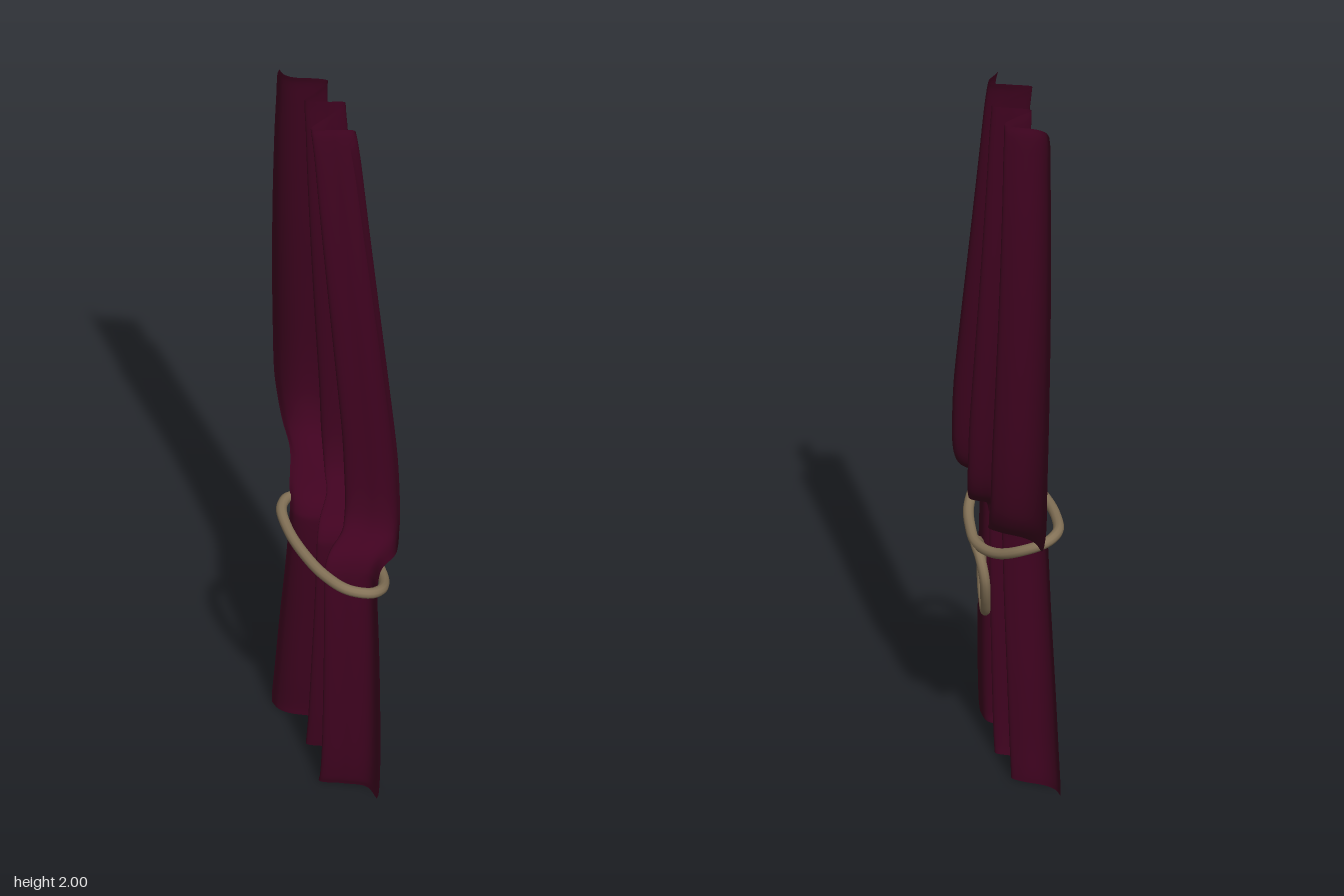
import * as THREE from 'three';

const v = (x, y, z) => new THREE.Vector3(x, y, z);
const { lerp } = THREE.MathUtils;

// Rows down the cloth: height, front edge z, back edge z, sideways shift, gather amount
const ROWS = [
  [2, 0.147, -0.222, -0.05, 0],
  [1.97, 0.161, -0.236, -0.049, 0],
  [1.9, 0.177, -0.249, -0.045, 0],
  [1.75, 0.204, -0.275, -0.038, 0],
  [1.5, 0.247, -0.312, -0.025, 0],
  [1.25, 0.287, -0.343, -0.011, 0],
  [1.05, 0.318, -0.359, -0.001, 0],
  [0.92, 0.332, -0.354, 0, 0],
  [0.85, 0.336, -0.327, -0.003, 0.1],
  [0.805, 0.336, -0.28, -0.012, 0.25],
  [0.775, 0.333, -0.2, -0.03, 0.5],
  [0.745, 0.33, -0.11, -0.075, 0.8],
  [0.71, 0.33, -0.068, -0.095, 1],
  [0.66, 0.333, -0.062, -0.1, 1],
  [0.5, 0.343, -0.085, -0.1, 1],
  [0.3, 0.35, -0.12, -0.1, 1],
  [0.12, 0.35, -0.148, -0.1, 1],
  [0.03, 0.342, -0.163, -0.1, 1],
  [0, 0.33, -0.163, -0.1, 1],
];

// Pleats from back edge to front edge: x when loose, x when gathered, position along the width
const PLEATS = [
  [0.04, 0.04, 0],
  [0.042, 0.042, 0.07],
  [0.062, 0.062, 0.135],
  [0.112, 0.112, 0.215],
  [0.131, 0.131, 0.275],
  [0.09, 0.09, 0.34],
  [0.04, 0.04, 0.405],
  [0.09, 0.09, 0.485],
  [0.131, 0.131, 0.555],
  [0.07, 0.07, 0.635],
  [0.0, 0.0, 0.72],
  [0.05, 0.05, 0.8],
  [0.1, 0.098, 0.88],
  [0.06, 0.1, 1],
];

// Pleated cloth lofted through the rows
function clothGeometry(across, down) {
  const edges = new THREE.CatmullRomCurve3(ROWS.map(r => v(r[1], r[0], r[2])), false, 'catmullrom');
  const drift = new THREE.CatmullRomCurve3(ROWS.map(r => v(r[3], r[4], 0)), false, 'catmullrom');
  const positions = [], index = [];
  for (let j = 0; j <= down; j++) {
    const e = edges.getPoint(j / down), d = drift.getPoint(j / down);
    const section = new THREE.CatmullRomCurve3(PLEATS.map(([loose, tight, along]) =>
      v(lerp(loose, tight, d.y) + d.x, e.y, lerp(e.z, e.x, along))), false, 'catmullrom');
    for (let i = 0; i <= across; i++) {
      const p = section.getPoint(i / across);
      positions.push(p.x, p.y, p.z);
    }
  }
  const w = across + 1;
  for (let j = 0; j < down; j++) {
    for (let i = 0; i < across; i++) {
      const a = j * w + i, b = a + 1, c = a + w, d = c + 1;
      index.push(a, b, c, b, d, c);
    }
  }
  const g = new THREE.BufferGeometry();
  g.setAttribute('position', new THREE.Float32BufferAttribute(positions, 3));
  g.setIndex(index);
  g.computeVertexNormals();
  return g;
}

// Closed loop of cord
function cord(name, points, radius, material) {
  const path = new THREE.CatmullRomCurve3(points.map(p => v(...p)), true);
  const mesh = new THREE.Mesh(new THREE.TubeGeometry(path, 96, radius, 10, true), material);
  mesh.name = name;
  return mesh;
}

export function createModel() {
  const group = new THREE.Group();
  group.name = 'tiedCurtain';

  const cloth = new THREE.MeshStandardMaterial({ color: 0x400320, side: THREE.DoubleSide });
  cloth.name = 'burgundy cloth';
  const rope = new THREE.MeshStandardMaterial({ color: 0x857358 });
  rope.name = 'tan rope';

  const curtain = new THREE.Mesh(clothGeometry(104, 144), cloth);
  curtain.name = 'curtain';
  group.add(curtain);

  // Tieback ring around the gathered waist
  group.add(cord('tiebackRing', [
    [-0.119, 0.71, 0.15], [-0.113, 0.715, 0.04], [-0.088, 0.72, -0.05], [-0.045, 0.715, -0.086],
    [0.01, 0.69, -0.065], [0.06, 0.655, 0], [0.086, 0.64, 0.09], [0.075, 0.64, 0.18],
    [0.05, 0.652, 0.27], [0.01, 0.675, 0.33], [-0.03, 0.688, 0.345], [-0.08, 0.699, 0.318],
    [-0.109, 0.705, 0.245],
  ], 0.0143, rope));

  // Loose loop hanging from the ring
  group.add(cord('hangingLoop', [
    [0.087, 0.637, 0.1], [0.087, 0.615, 0.06], [0.081, 0.56, 0.042], [0.07, 0.48, 0.068],
    [0.057, 0.427, 0.112], [0.05, 0.47, 0.156], [0.048, 0.55, 0.172], [0.062, 0.61, 0.15],
  ], 0.0135, rope));

  return group;
}
